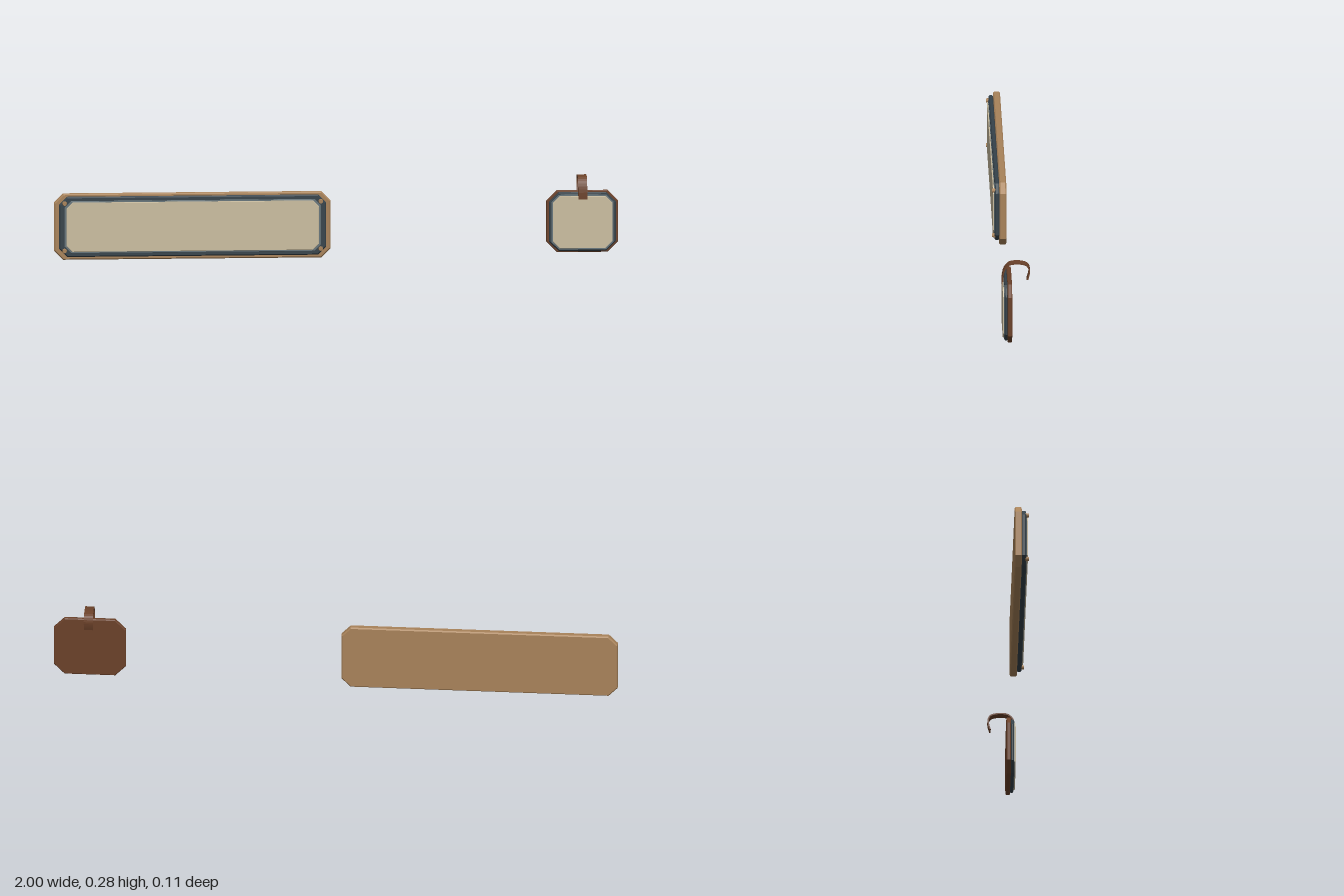
import * as THREE from 'three';

const mat = (name, color) => {
  const m = new THREE.MeshStandardMaterial({ color });
  m.name = name;
  return m;
};

// Rectangle with cut corners
function cutRect(x0, x1, y0, y1, c) {
  const pts = [
    [x0 + c, y0], [x1 - c, y0], [x1, y0 + c], [x1, y1 - c],
    [x1 - c, y1], [x0 + c, y1], [x0, y1 - c], [x0, y0 + c],
  ];
  return new THREE.Shape(pts.map(([x, y]) => new THREE.Vector2(x, y)));
}

// Slab from z0 to z1 with a small bevel inside the given outline
function slab(name, material, [x0, x1, y0, y1], c, z0, z1, b) {
  const shape = cutRect(x0 + b, x1 - b, y0 + b, y1 - b, c);
  const geo = new THREE.ExtrudeGeometry(shape, {
    depth: z1 - z0 - 2 * b, bevelEnabled: true, bevelThickness: b, bevelSize: b, bevelSegments: 1,
  });
  geo.translate(0, 0, z0 + b);
  const mesh = new THREE.Mesh(geo, material);
  mesh.name = name;
  return mesh;
}

export function createModel() {
  const tan = mat('tan wood', 0xa9835a);
  const brown = mat('brown leather', 0x6b4129);
  const slate = mat('dark slate', 0x35424a);
  const trim = mat('grey trim', 0x66747a);
  const cream = mat('cream paper', 0xcbbd9f);

  const model = new THREE.Group();
  model.name = 'signAndTag';

  // Long name board
  const sign = new THREE.Group();
  sign.name = 'longSign';
  sign.add(
    slab('signBoard', tan, [-1, -0.02, 0, 0.235], 0.03, 0.006, 0.031, 0.004),
    slab('signFrame', slate, [-0.983, -0.037, 0.012, 0.226], 0.026, 0.03, 0.047, 0.004),
    slab('signTrim', trim, [-0.964, -0.056, 0.026, 0.212], 0.022, 0.045, 0.049, 0.001),
    slab('signPanel', cream, [-0.957, -0.063, 0.031, 0.207], 0.02, 0.046, 0.053, 0.001),
  );

  // Corner studs on the long sign
  for (const x of [-0.964, -0.056]) {
    for (const y of [0.034, 0.203]) {
      const geo = new THREE.CylinderGeometry(0.007, 0.009, 0.011, 10);
      geo.rotateX(Math.PI / 2);
      const stud = new THREE.Mesh(geo, tan);
      stud.name = 'cornerStud';
      stud.position.set(x, y, 0.0505);
      sign.add(stud);
    }
  }

  // Small hanging tag
  const tag = new THREE.Group();
  tag.name = 'hangingTag';
  tag.add(
    slab('tagBoard', brown, [0.745, 1, 0.01, 0.23], 0.036, 0.01, 0.026, 0.003),
    slab('tagFrame', slate, [0.754, 0.991, 0.015, 0.225], 0.032, 0.025, 0.037, 0.004),
    slab('tagTrim', trim, [0.762, 0.983, 0.021, 0.217], 0.026, 0.035, 0.039, 0.001),
    slab('tagPanel', cream, [0.767, 0.978, 0.026, 0.212], 0.024, 0.036, 0.043, 0.001),
  );

  // Strap hook: a ribbon profile in z and y, widened along x
  const path = new THREE.CatmullRomCurve3([
    [0.042, 0.2], [0.041, 0.232], [0.034, 0.258], [0.018, 0.275], [0, 0.279],
    [-0.025, 0.278], [-0.045, 0.271], [-0.053, 0.254], [-0.051, 0.235], [-0.046, 0.218],
  ].map(([z, y]) => new THREE.Vector3(z, y, 0)));
  const outer = [], inner = [];
  for (let i = 0; i <= 24; i++) {
    const p = path.getPoint(i / 24), t = path.getTangent(i / 24);
    outer.push(new THREE.Vector2(p.x - t.y * 0.0025, p.y + t.x * 0.0025));
    inner.unshift(new THREE.Vector2(p.x + t.y * 0.0025, p.y - t.x * 0.0025));
  }
  const strapGeo = new THREE.ExtrudeGeometry(new THREE.Shape([...outer, ...inner]), {
    depth: 0.032, bevelEnabled: false,
  });
  strapGeo.rotateY(-Math.PI / 2);
  const strap = new THREE.Mesh(strapGeo, brown);
  strap.name = 'strapHook';
  strap.position.x = 0.873 + 0.016;
  tag.add(strap);

  model.add(sign, tag);
  return model;
}
